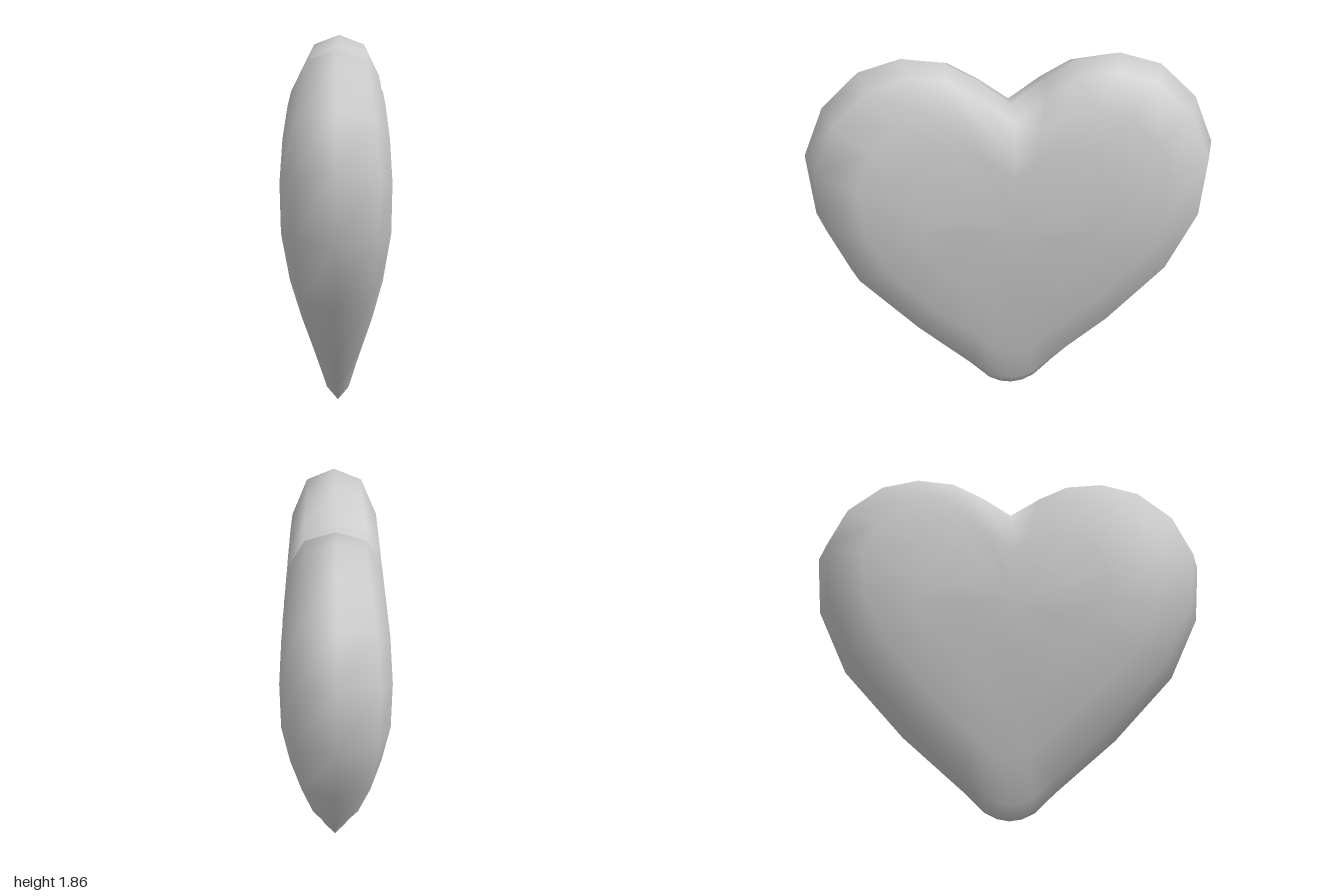
import * as THREE from 'three';

// Half outline of the heart as [z, y], from the notch round to the bottom tip
const HALF = [[0, 1.62], [0.16, 1.74], [0.32, 1.835], [0.52, 1.86], [0.72, 1.8], [0.9, 1.63], [1, 1.39],
  [0.97, 1.08], [0.82, 0.75], [0.52, 0.41], [0.22, 0.14], [0.12, 0.04], [0.06, 0.01], [0, 0]];

// Half thickness by height, as [y, x]
const THICK = [[0, 0.04], [0.06, 0.065], [0.39, 0.135], [0.73, 0.2], [1.09, 0.245], [1.4, 0.245], [1.64, 0.215], [1.86, 0.165]];

// Rings from the middle of a face to the rim, as [scale, share of thickness]
const RINGS = [[0, 1], [0.25, 1], [0.5, 1], [0.75, 1], [0.94, 0.755], [1, 0]];

const CENTRE_Y = 1.05;

function thickness(y) {
  const i = Math.max(1, THICK.findIndex((p) => p[0] >= y));
  const [y0, x0] = THICK[i - 1];
  const [y1, x1] = THICK[i];
  return THREE.MathUtils.mapLinear(y, y0, y1, x0, x1);
}

function heartGeometry() {
  const outline = [...HALF, ...HALF.slice(1, -1).reverse().map(([z, y]) => [-z, y])];
  const n = outline.length;

  // +x face, shared rim, then the mirrored -x face
  const rings = [
    ...RINGS.map(([s, g]) => [s, g]),
    ...RINGS.slice(0, -1).reverse().map(([s, g]) => [s, -g]),
  ];
  const positions = [];
  for (const [s, g] of rings) {
    for (const [z, py] of outline) {
      const y = CENTRE_Y + (py - CENTRE_Y) * s;
      positions.push(g * thickness(y), y, z * s);
    }
  }

  // Each pole uses only the first vertex of its ring
  const at = (k, i) => k * n + (k === 0 || k === rings.length - 1 ? 0 : i % n);
  const index = [];
  for (let k = 0; k < rings.length - 1; k++) {
    for (let i = 0; i < n; i++) {
      const a = at(k, i), b = at(k + 1, i), c = at(k + 1, i + 1), d = at(k, i + 1);
      if (b !== c) index.push(a, b, c);
      if (a !== d) index.push(a, c, d);
    }
  }

  const geometry = new THREE.BufferGeometry();
  geometry.setAttribute('position', new THREE.Float32BufferAttribute(positions, 3));
  geometry.setIndex(index);
  geometry.computeVertexNormals();
  return geometry;
}

export function createModel() {
  const group = new THREE.Group();
  group.name = 'heart';
  const body = new THREE.Mesh(heartGeometry(), new THREE.MeshStandardMaterial({ color: 0xcccccc }));
  body.name = 'heartBody';
  group.add(body);
  return group;
}
